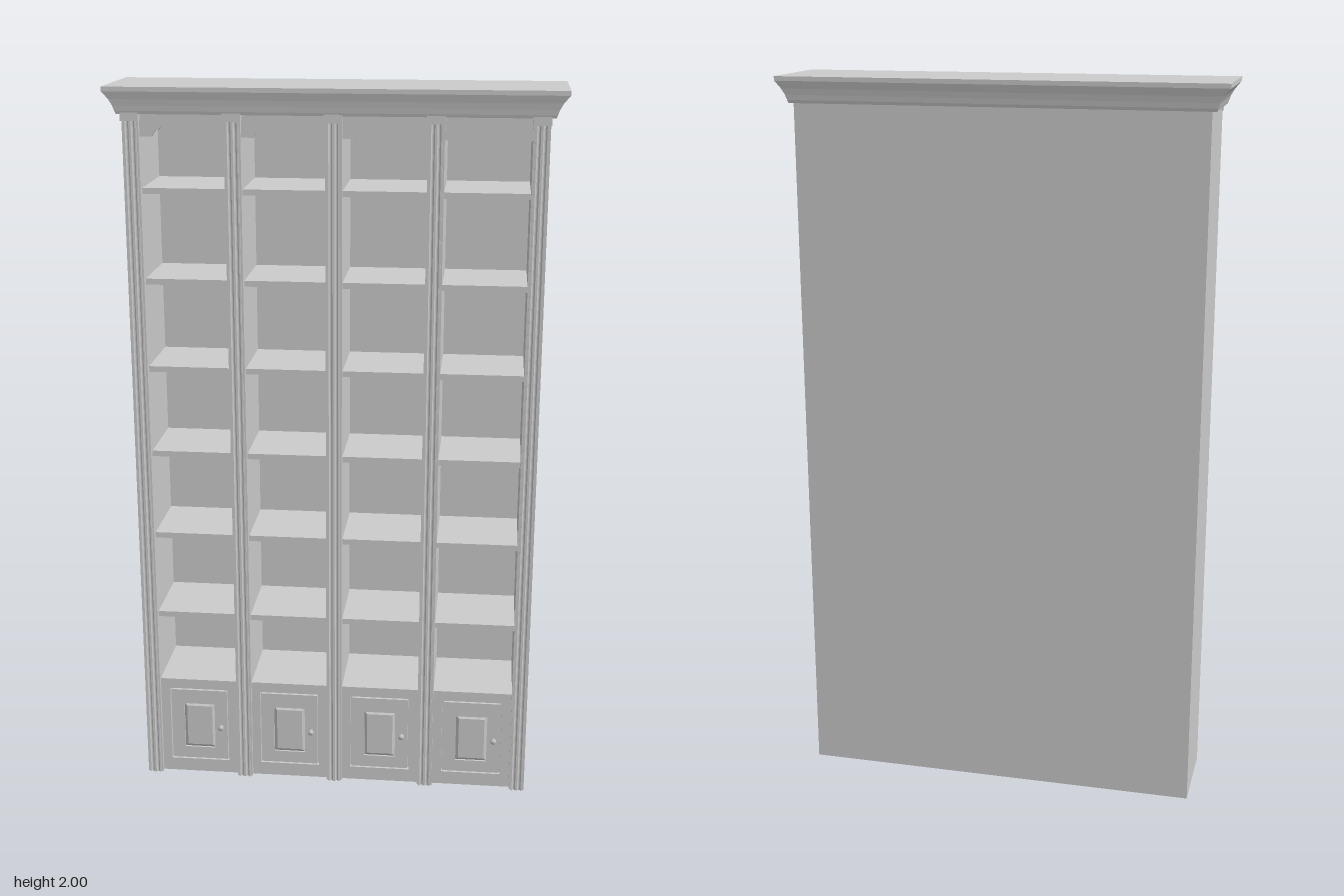
import * as THREE from 'three';

const mat = new THREE.MeshStandardMaterial({ color: 0xcccccc });
const FRONT = 0.108, BACK = -0.125, POST_FRONT = 0.127, TOP = 1.935;

// Bay edges run between the upright posts.
const postX = [-0.534, -0.265, 0, 0.265, 0.534];
const POST_W = 0.044;

function add(parent, name, geometry, x = 0, y = 0, z = 0) {
  const mesh = new THREE.Mesh(geometry, mat);
  mesh.name = name;
  mesh.position.set(x, y, z);
  parent.add(mesh);
  return mesh;
}

// Box given by its limits.
function block(parent, name, x0, x1, y0, y1, z0, z1) {
  return add(parent, name, new THREE.BoxGeometry(x1 - x0, y1 - y0, z1 - z0),
    (x0 + x1) / 2, (y0 + y1) / 2, (z0 + z1) / 2);
}

// Stacked rectangles [y, halfX, halfZ], from bottom to top, with flat ends.
function rectLoft(rings) {
  const pos = [];
  const corners = rings.map(([y, a, b]) => [[a, y, b], [a, y, -b], [-a, y, -b], [-a, y, b]]);
  const quad = (a, b, c, d) => pos.push(...a, ...b, ...c, ...a, ...c, ...d);
  for (let r = 0; r < corners.length - 1; r++) {
    for (let i = 0; i < 4; i++) {
      const j = (i + 1) % 4;
      quad(corners[r][i], corners[r][j], corners[r + 1][j], corners[r + 1][i]);
    }
  }
  quad(...corners[corners.length - 1]);
  quad(...[...corners[0]].reverse());
  const g = new THREE.BufferGeometry();
  g.setAttribute('position', new THREE.Float32BufferAttribute(pos, 3));
  g.computeVertexNormals();
  return g;
}

// Fluted pilaster: plan outline with two round grooves, extruded upward.
function pilasterGeometry(height) {
  const h = POST_W / 2, d = POST_FRONT - FRONT, r = 0.005;
  const s = new THREE.Shape();
  s.moveTo(-h, 0);
  s.lineTo(h, 0);
  s.lineTo(h, -d + 0.006);
  s.lineTo(h - 0.005, -d + 0.006);
  s.lineTo(h - 0.005, -d);
  for (const cx of [0.008, -0.008]) {
    s.lineTo(cx + r, -d);
    s.absarc(cx, -d, r, 0, Math.PI, false);
  }
  s.lineTo(-h + 0.005, -d);
  s.lineTo(-h + 0.005, -d + 0.006);
  s.lineTo(-h, -d + 0.006);
  s.closePath();
  const g = new THREE.ExtrudeGeometry(s, { depth: height, bevelEnabled: false, curveSegments: 6 });
  return g.rotateX(-Math.PI / 2);
}

function rectPath(path, x0, x1, y0, y1) {
  path.moveTo(x0, y0);
  path.lineTo(x1, y0);
  path.lineTo(x1, y1);
  path.lineTo(x0, y1);
  path.closePath();
  return path;
}

// Arched valance with shaped shoulders.
function valanceGeometry(w) {
  const h = w / 2, low = 1.87, high = 1.9;
  const s = new THREE.Shape();
  s.moveTo(-h, TOP);
  s.lineTo(-h, low);
  s.lineTo(-h + 0.032, low);
  s.quadraticCurveTo(-h + 0.038, low + 0.016, -h + 0.05, low + 0.018);
  s.quadraticCurveTo(-h + 0.058, high, -h + 0.07, high);
  s.lineTo(h - 0.07, high);
  s.quadraticCurveTo(h - 0.058, high, h - 0.05, low + 0.018);
  s.quadraticCurveTo(h - 0.038, low + 0.016, h - 0.032, low);
  s.lineTo(h, low);
  s.lineTo(h, TOP);
  s.closePath();
  return new THREE.ExtrudeGeometry(s, { depth: 0.014, bevelEnabled: false, curveSegments: 6 });
}

// Cupboard front: face frame, inset door, raised panel and knob.
function cupboard(w) {
  const g = new THREE.Group();
  g.name = 'cupboard';
  const h = w / 2, x = 0.086, y0 = 0.04, y1 = 0.27, gap = 0.004;
  const frame = rectPath(new THREE.Shape(), -h, h, 0, 0.3);
  frame.holes.push(rectPath(new THREE.Path(), -x, x, y0, y1));
  add(g, 'faceFrame', new THREE.ExtrudeGeometry(frame, { depth: 0.014, bevelEnabled: false }), 0, 0, FRONT - 0.014);
  block(g, 'cupboardBody', -h, h, 0, 0.3, BACK + 0.005, FRONT - 0.014);

  const door = rectPath(new THREE.Shape(), -x + gap, x - gap, y0 + gap, y1 - gap);
  door.holes.push(rectPath(new THREE.Path(), -0.045, 0.045, 0.08, 0.222));
  add(g, 'door', new THREE.ExtrudeGeometry(door, { depth: 0.014, bevelEnabled: false }), 0, 0, FRONT - 0.014);
  const panel = rectLoft([[0, 0.045, 0.071], [0.008, 0.045, 0.071], [0.013, 0.037, 0.063]]).rotateX(Math.PI / 2);
  add(g, 'raisedPanel', panel, 0, 0.151, FRONT - 0.014);

  const profile = [[0, 0], [0.006, 0], [0.004, 0.004], [0.005, 0.007], [0.009, 0.01], [0.008, 0.014], [0, 0.016]]
    .map(([a, b]) => new THREE.Vector2(a, b));
  add(g, 'knob', new THREE.LatheGeometry(profile, 16).rotateX(Math.PI / 2), 0.064, 0.151, FRONT);
  return g;
}

export function createModel() {
  const model = new THREE.Group();
  model.name = 'bookcase';
  const h = POST_W / 2;

  // Carcass
  block(model, 'backPanel', postX[0] - h, postX[4] + h, 0, TOP, BACK, BACK + 0.012);
  block(model, 'topPanel', postX[0] - h, postX[4] + h, 1.915, TOP, BACK + 0.006, FRONT - 0.016);

  // Uprights with fluted fronts and small capitals
  const fluted = pilasterGeometry(TOP);
  for (const x of postX) {
    block(model, 'upright', x - h, x + h, 0, TOP, BACK + 0.002, FRONT);
    add(model, 'pilaster', fluted, x, 0, FRONT);
    block(model, 'capital', x - h - 0.002, x + h + 0.002, 1.912, TOP, FRONT, 0.132);
  }

  // Bays: shelves, cupboard and valance
  for (let i = 0; i < 4; i++) {
    const bay = new THREE.Group();
    bay.name = 'bay';
    const w = postX[i + 1] - postX[i] - POST_W;
    bay.position.x = (postX[i] + postX[i + 1]) / 2;
    for (let k = 0; k < 6; k++) {
      const y = 0.512 + k * 0.2445;
      block(bay, 'shelf', -w / 2, w / 2, y - 0.016, y, BACK + 0.006, FRONT - 0.006);
    }
    bay.add(cupboard(w));
    add(bay, 'valance', valanceGeometry(w), 0, 0, FRONT - 0.014);
    model.add(bay);
  }

  // Crown moulding
  add(model, 'cornice', rectLoft([
    [1.93, 0.568, 0.131], [1.938, 0.571, 0.133], [1.952, 0.576, 0.135],
    [1.968, 0.585, 0.138], [1.984, 0.598, 0.142], [1.988, 0.602, 0.143], [2, 0.602, 0.143],
  ]));
  return model;
}
